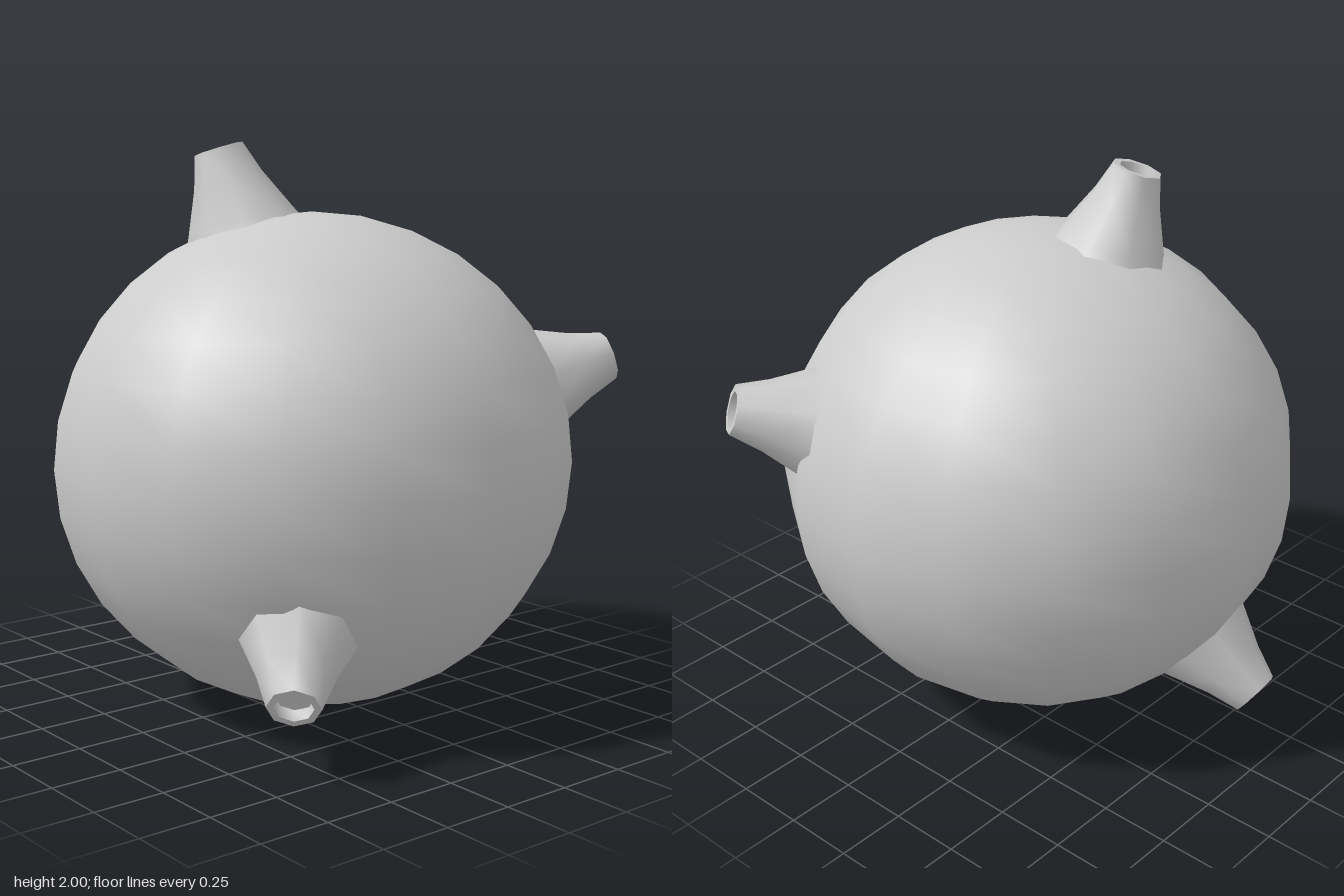
import * as THREE from 'three';
import { toCreasedNormals } from 'three/addons/utils/BufferGeometryUtils.js';

const CENTRE = new THREE.Vector3(-0.02, 0.885, 0.015);

const material = new THREE.MeshStandardMaterial({ color: 0xcccccc });

// Flared eight-sided spout with a rim and a shallow bore; heights are distances from the body centre
function makeSpoutGeometry() {
  const profile = [
    [0.225, 0.81], [0.19, 0.885], [0.125, 1.03], [0.088, 1.145],
    [0.064, 1.145], [0.064, 1.1], [0, 1.1],
  ].map(([r, h]) => new THREE.Vector2(r, h));
  return toCreasedNormals(new THREE.LatheGeometry(profile, 8), 1.0);
}

export function createModel() {
  const model = new THREE.Group();
  model.name = 'spoutedBall';

  // Slightly squashed round body
  const bodyGeometry = new THREE.SphereGeometry(1, 16, 16);
  bodyGeometry.scale(0.927, 0.878, 0.927);
  const body = new THREE.Mesh(bodyGeometry, material);
  body.name = 'body';
  body.position.copy(CENTRE);
  model.add(body);

  // Four spouts pointing outward, spread like the corners of a tetrahedron
  const spoutGeometry = makeSpoutGeometry();
  const spouts = [
    ['topSpout', [-0.235, 1.1, -0.235], 0.21],
    ['leftSpout', [0.92, 0.35, 0.57], 0],
    ['frontRightSpout', [-0.65, -0.62, 0.72], 0],
    ['backSpout', [-0.125, -0.67, -0.915], 0],
  ];
  const up = new THREE.Vector3(0, 1, 0);
  for (const [name, direction, spin] of spouts) {
    const spout = new THREE.Mesh(spoutGeometry, material);
    spout.name = name;
    spout.position.copy(CENTRE);
    spout.quaternion.setFromUnitVectors(up, new THREE.Vector3(...direction).normalize());
    spout.rotateY(spin);
    model.add(spout);
  }

  return model;
}
